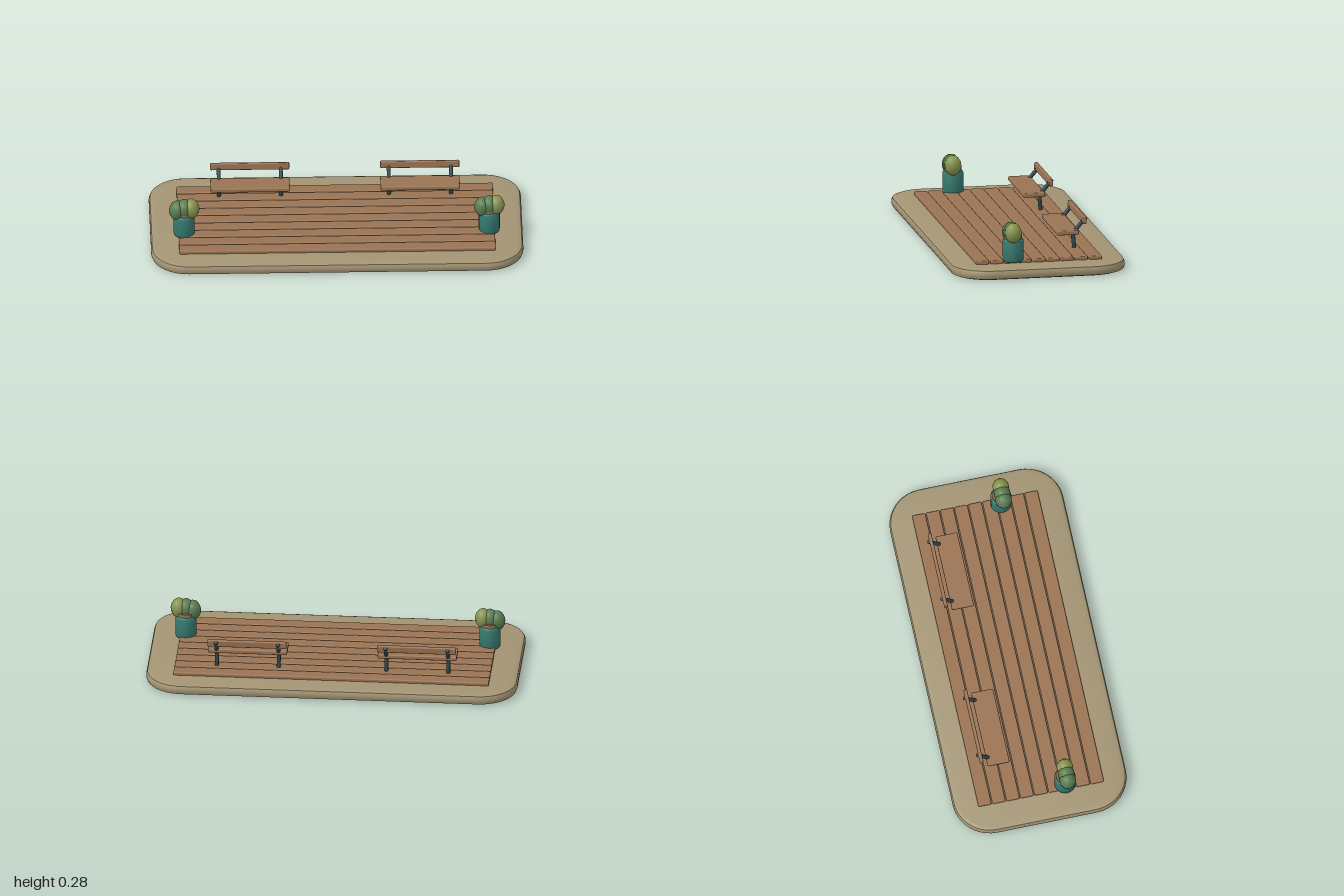
import * as THREE from 'three';
import { RoundedBoxGeometry } from 'three/addons/geometries/RoundedBoxGeometry.js';
import { toCreasedNormals } from 'three/addons/utils/BufferGeometryUtils.js';

const material = (name, color) => {
  const m = new THREE.MeshStandardMaterial({ color });
  m.name = name;
  return m;
};

function add(parent, name, geometry, mat, x = 0, y = 0, z = 0) {
  const mesh = new THREE.Mesh(geometry, mat);
  mesh.name = name;
  mesh.position.set(x, y, z);
  parent.add(mesh);
  return mesh;
}

// Round bar between two points in the YZ plane
function bar(parent, name, mat, x, [y0, z0], [y1, z1], radius) {
  const length = Math.hypot(y1 - y0, z1 - z0);
  const mesh = add(parent, name, new THREE.CylinderGeometry(radius, radius, length, 10), mat,
    x, (y0 + y1) / 2, (z0 + z1) / 2);
  mesh.rotation.x = Math.atan2(z1 - z0, y1 - y0);
}

function roundedRect(w, d, r) {
  const s = new THREE.Shape();
  s.moveTo(-w + r, -d);
  s.lineTo(w - r, -d);
  s.absarc(w - r, -d + r, r, -Math.PI / 2, 0);
  s.lineTo(w, d - r);
  s.absarc(w - r, d - r, r, 0, Math.PI / 2);
  s.lineTo(-w + r, d);
  s.absarc(-w + r, d - r, r, Math.PI / 2, Math.PI);
  s.lineTo(-w, -d + r);
  s.absarc(-w + r, -d + r, r, Math.PI, Math.PI * 1.5);
  return s;
}

export function createModel() {
  const stone = material('sandstone', 0xa39473);
  const wood = material('wood', 0x9a7353);
  const metal = material('dark metal', 0x2b464f);
  const glaze = material('teal glaze', 0x35796f);
  const leaf = material('leaf green', 0x5a7d50);
  const olive = material('olive green', 0x88944f);

  const model = new THREE.Group();
  model.name = 'terrace';

  // Bevelled base slab
  const slab = new THREE.ExtrudeGeometry(roundedRect(0.978, 0.453, 0.18), {
    depth: 0.017, bevelThickness: 0.02, bevelSize: 0.022, bevelSegments: 2, curveSegments: 5,
  });
  slab.rotateX(-Math.PI / 2);
  add(model, 'baseSlab', toCreasedNormals(slab, 0.5), stone, 0, 0.02, 0);

  // Deck planks
  const plank = new RoundedBoxGeometry(1.7, 0.022, 0.072, 2, 0.007);
  for (let i = -4; i <= 4; i++) add(model, 'deckPlank', plank, wood, 0, 0.065, i * 0.0772);

  // Benches along the back
  const seat = new RoundedBoxGeometry(0.426, 0.025, 0.12, 2, 0.007);
  const back = new RoundedBoxGeometry(0.426, 0.039, 0.02, 2, 0.006);
  for (const side of [-1, 1]) {
    const bench = new THREE.Group();
    bench.name = side > 0 ? 'leftBench' : 'rightBench';
    bench.position.x = side * 0.457;
    model.add(bench);
    add(bench, 'seat', seat, wood, 0, 0.166, -0.195);
    add(bench, 'backrest', back, wood, 0, 0.23, -0.287).rotation.x = -0.08;
    for (const x of [-0.167, 0.167]) {
      bar(bench, 'leg', metal, x, [0.07, -0.237], [0.166, -0.229], 0.011);
      bar(bench, 'backSupport', metal, x, [0.16, -0.234], [0.24, -0.301], 0.011);
    }
  }

  // Planters with three clumps of foliage
  const potProfile = [[0, 0.062], [0.046, 0.062], [0.054, 0.066], [0.057, 0.075],
    [0.057, 0.176], [0.054, 0.184], [0.047, 0.188], [0, 0.188]]
    .map(([r, y]) => new THREE.Vector2(r, y));
  const pot = toCreasedNormals(new THREE.LatheGeometry(potProfile, 20), 0.7);
  const soil = new THREE.CylinderGeometry(0.048, 0.048, 0.022, 16);
  const clump = new THREE.SphereGeometry(1, 10, 8);
  for (const side of [-1, 1]) {
    const planter = new THREE.Group();
    planter.name = side > 0 ? 'leftPlanter' : 'rightPlanter';
    planter.position.set(side * 0.82, 0, 0.137);
    model.add(planter);
    add(planter, 'pot', pot, glaze);
    add(planter, 'soil', soil, wood, 0, 0.195, 0);
    [[-0.037, 0.214, leaf], [0, 0.222, leaf], [0.038, 0.224, olive]].forEach(([x, y, mat]) => {
      add(planter, 'foliage', clump, mat, x, y, 0.007).scale.set(0.045, 0.056, 0.046);
    });
  }
  return model;
}
